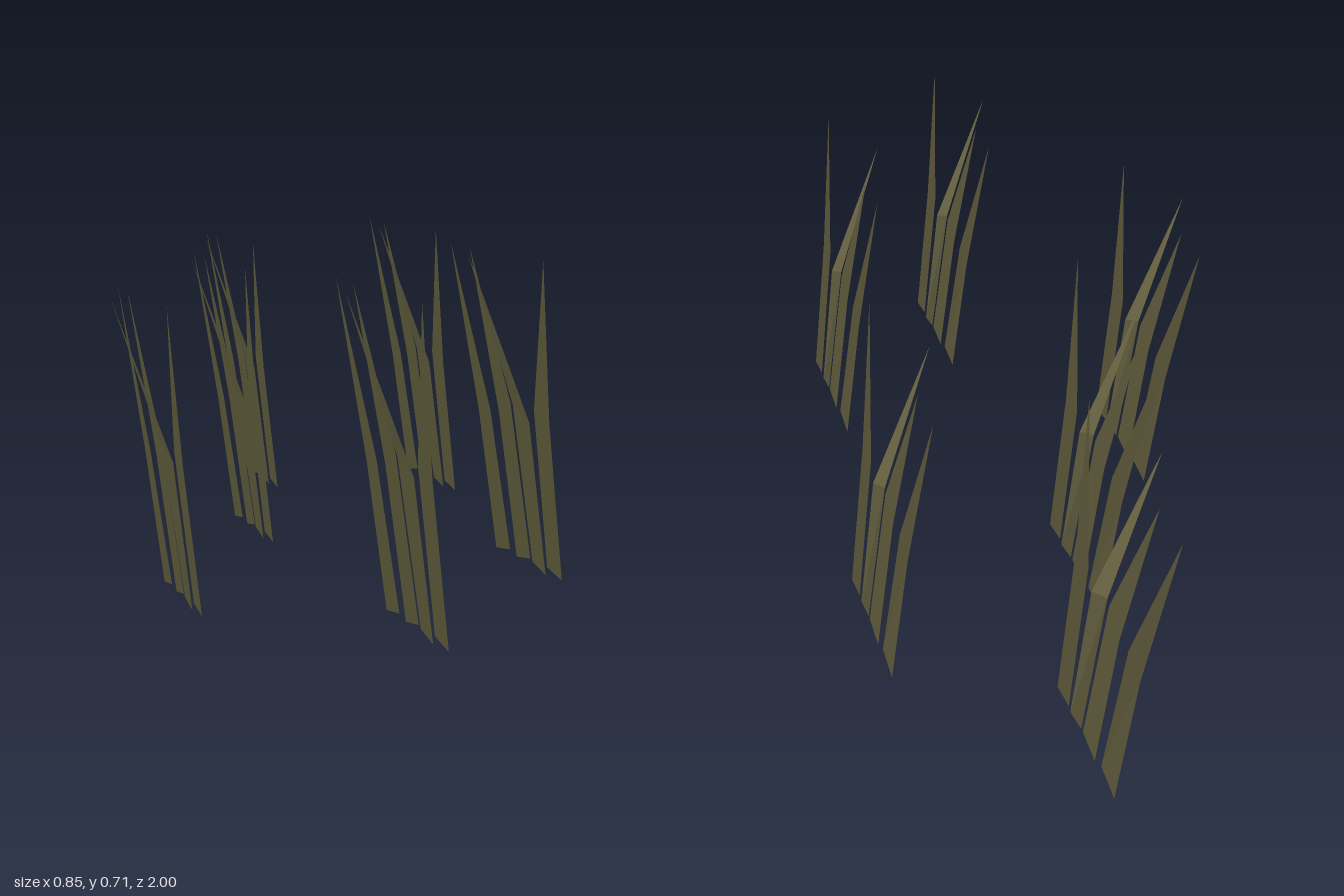
import * as THREE from 'three';

// Each blade: base pair, shoulder pair and tip, as [x, y, z] within a clump
const BLADES = [
  [[-0.005, 0.013, -0.072], [-0.009, 0, -0.146], [-0.043, 0.29, -0.095], [-0.043, 0.275, -0.167], [-0.086, 0.607, -0.235]],
  [[0.004, 0.018, 0.023], [0, 0.005, -0.046], [-0.034, 0.32, 0], [-0.036, 0.29, -0.062], [-0.08, 0.605, -0.126]],
  [[0.008, 0.005, 0.1], [0.004, 0.015, 0.036], [-0.024, 0.295, 0.082], [-0.037, 0.32, 0.022], [-0.134, 0.61, 0.035]],
  [[0.015, 0.012, 0.17], [0.011, 0.02, 0.1], [-0.022, 0.31, 0.187], [-0.027, 0.325, 0.115], [-0.056, 0.615, 0.232]],
];

// Clump positions on the uneven ground
const CLUMPS = [
  [-0.289, 0, 0.25], [-0.053, 0.018, -0.225], [0.044, 0.062, 0.765],
  [0.07, 0.018, -0.765], [0.349, 0.092, 0.472], [0.407, 0.074, -0.4],
];

// Flat blade: a straight lower strip and a pointed upper part
function bladeGeometry(points) {
  const corners = [0, 1, 3, 0, 3, 2, 2, 3, 4].flatMap((i) => points[i]);
  const geometry = new THREE.BufferGeometry();
  geometry.setAttribute('position', new THREE.Float32BufferAttribute(corners, 3));
  geometry.computeVertexNormals();
  return geometry;
}

export function createModel() {
  const model = new THREE.Group();
  model.name = 'grass';
  const material = new THREE.MeshStandardMaterial({
    color: 0x989262, side: THREE.DoubleSide, flatShading: true,
  });
  const geometries = BLADES.map(bladeGeometry);

  CLUMPS.forEach((position, i) => {
    const clump = new THREE.Group();
    clump.name = `grassClump${i + 1}`;
    clump.position.set(...position);
    geometries.forEach((geometry, j) => {
      const blade = new THREE.Mesh(geometry, material);
      blade.name = `grassBlade${j + 1}`;
      clump.add(blade);
    });
    model.add(clump);
  });
  return model;
}
